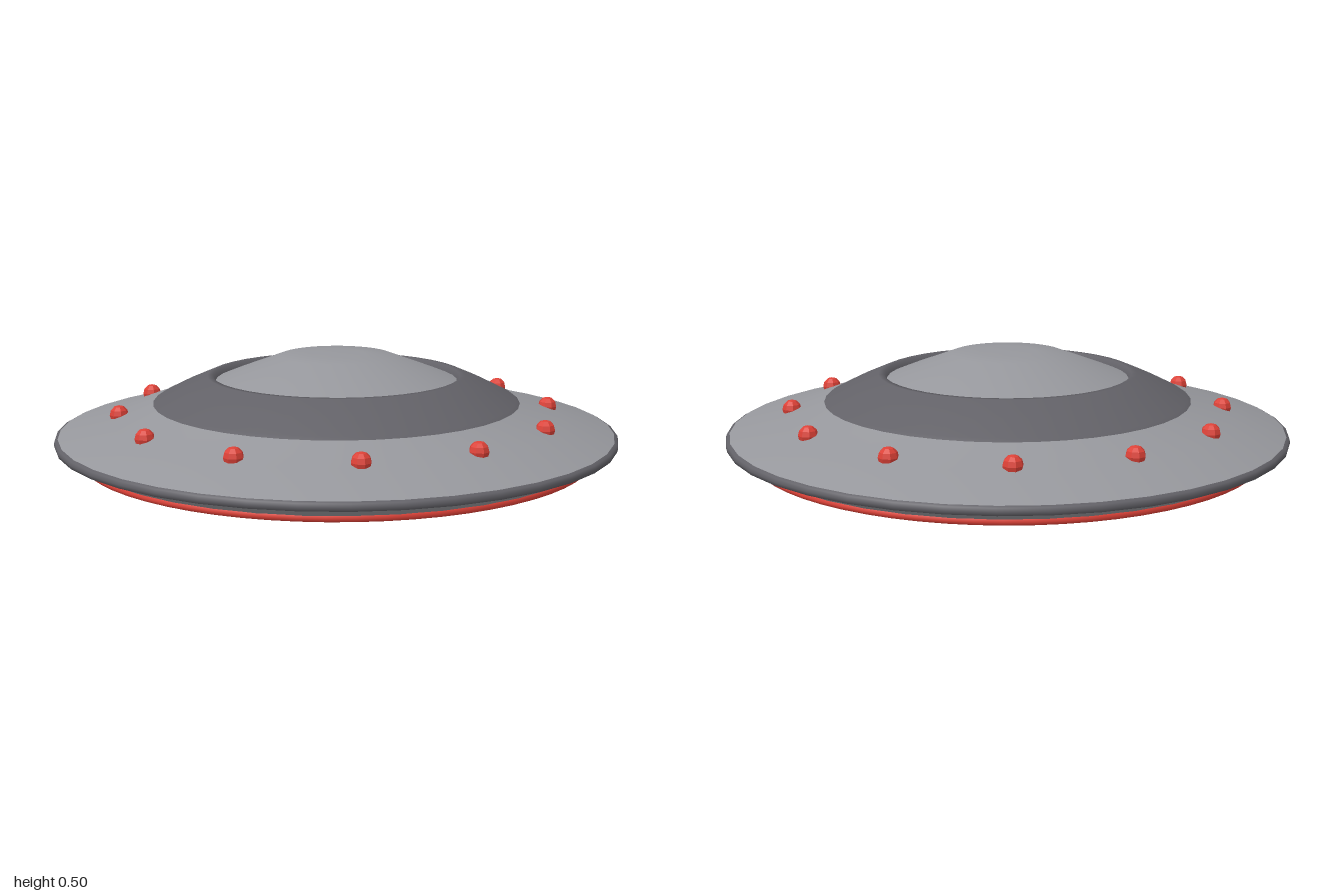
import * as THREE from 'three';

const SIDES = 40;

export function createModel() {
  const model = new THREE.Group();
  model.name = 'saucer';
  const paint = (name, color) => {
    const m = new THREE.MeshStandardMaterial({ color });
    m.name = name;
    return m;
  };
  const lightGrey = paint('light grey', 0x96979c);
  const darkGrey = paint('dark grey', 0x626167);
  const red = paint('red', 0xdc4137);

  const add = (name, geometry, material) => {
    const mesh = new THREE.Mesh(geometry, material);
    mesh.name = name;
    model.add(mesh);
    return mesh;
  };
  // Profiles run from the bottom upwards, so the faces point outwards
  const turn = (name, material, profile) => add(name,
    new THREE.LatheGeometry(profile.map(([r, y]) => new THREE.Vector2(r, y)), SIDES), material);

  // Underside, with a raised collar round the belly lamp
  turn('bellyLamp', red, [[0, 0.006], [0.06, 0.007], [0.12, 0.013], [0.165, 0.033], [0.185, 0.06]]);
  turn('lampCollar', darkGrey, [[0.17, 0.056], [0.2, 0.057], [0.25, 0.066], [0.28, 0.072], [0.28, 0.08]]);
  turn('underside', lightGrey, [[0.17, 0.07], [0.3, 0.076], [0.6, 0.104], [0.78, 0.135], [0.9, 0.165]]);

  // Red hoop below the rim
  const hoop = add('glowHoop', new THREE.TorusGeometry(0.9, 0.014, 8, 64), red);
  hoop.rotation.x = Math.PI / 2;
  hoop.position.y = 0.162;

  // Rim and upper hull; the hull turns down steeply where it meets the rim
  turn('lowerLip', lightGrey, [[0.9, 0.165], [0.975, 0.2], [0.98, 0.215]]);
  turn('rim', darkGrey, [[0.975, 0.203], [0.997, 0.208], [1, 0.22], [0.997, 0.232], [0.984, 0.237]]);
  turn('upperHull', lightGrey, [[0.986, 0.215], [0.986, 0.238], [0.8, 0.287], [0.655, 0.34], [0.6, 0.355]]);

  // Cabin band with a rounded lip, and the shallow dome set inside it
  turn('cabinBand', darkGrey,
    [[0.658, 0.337], [0.64, 0.35], [0.55, 0.395], [0.46, 0.434], [0.44, 0.434], [0.43, 0.41]]);
  turn('dome', lightGrey, [[0.434, 0.412], [0.37, 0.438], [0.2, 0.502], [0.1, 0.508], [0, 0.51]]);

  // Twelve faceted running lights
  const bulb = new THREE.SphereGeometry(0.034, 8, 6).toNonIndexed();
  bulb.computeVertexNormals();
  for (let i = 0; i < 12; i++) {
    const a = (i * Math.PI) / 6;
    add('runningLight', bulb, red).position.set(0.773 * Math.sin(a), 0.3, 0.773 * Math.cos(a));
  }
  return model;
}
